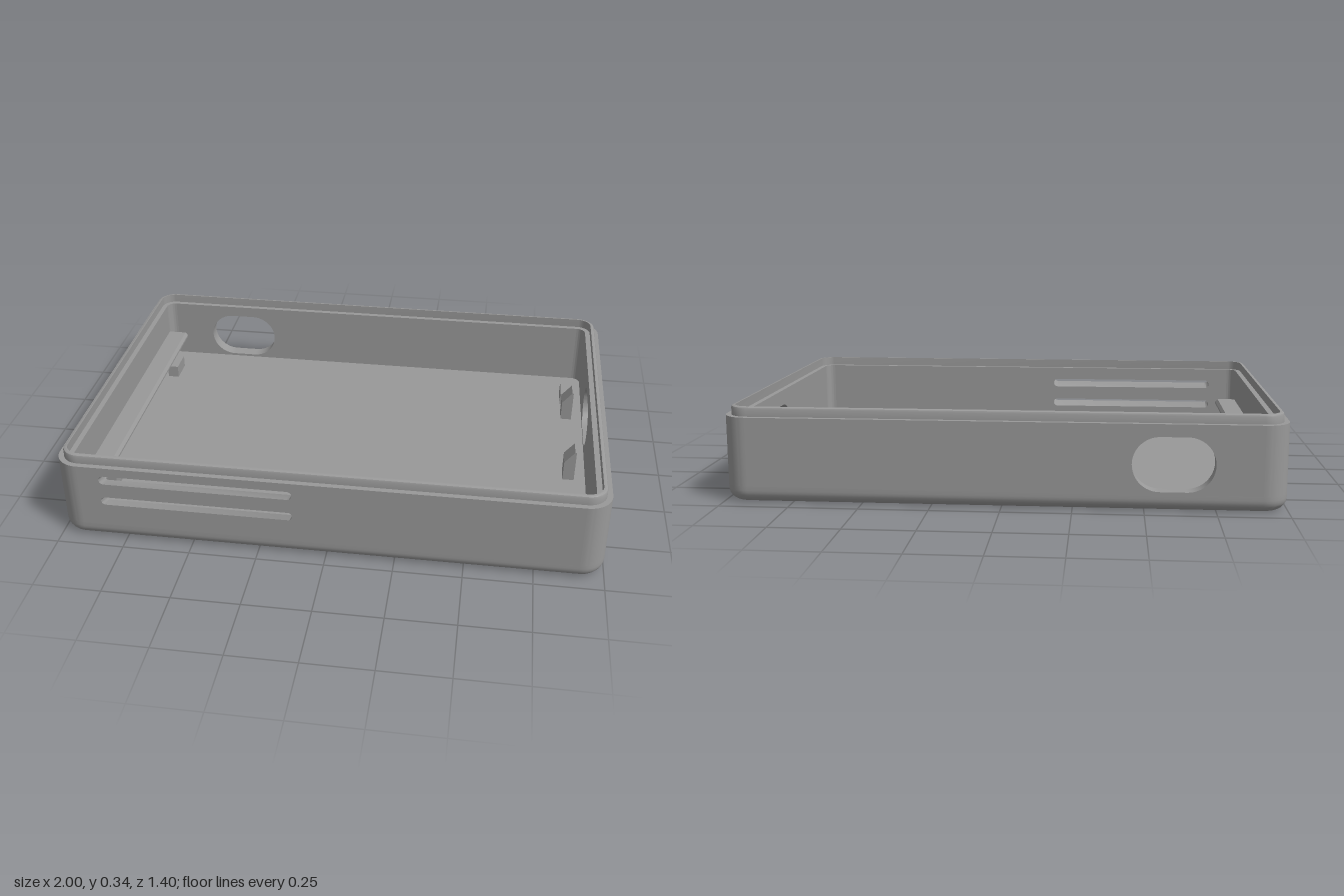
import * as THREE from 'three';
import { mergeVertices, toCreasedNormals } from 'three/addons/utils/BufferGeometryUtils.js';

const HX = 1, HZ = 0.7, R = 0.09;      // outer half sizes and corner radius
const T = 0.055;                       // wall thickness
const FLOOR = 0.06, RIM = 0.31, TOP = 0.345;

// Points of the outline inset by d, as [x, z]
function outline(d, segs = 10) {
  const pts = [];
  const r = R - d;
  [[1, 1], [-1, 1], [-1, -1], [1, -1]].forEach(([sx, sz], q) => {
    for (let i = 0; i <= segs; i++) {
      const a = (q + i / segs) * Math.PI / 2;
      pts.push([sx * (HX - R) + r * Math.cos(a), sz * (HZ - R) + r * Math.sin(a)]);
    }
  });
  return pts;
}

// Sweep an [inset, y] profile around the outline
function sweep(profile) {
  const pos = [], idx = [];
  const n = outline(0).length;
  profile.forEach(([d, y]) => outline(d).forEach(([x, z]) => pos.push(x, y, z)));
  for (let i = 0; i < profile.length - 1; i++) {
    for (let j = 0; j < n; j++) {
      const a = i * n + j, b = i * n + (j + 1) % n;
      idx.push(a, a + n, b, b, a + n, b + n);
    }
  }
  const g = new THREE.BufferGeometry();
  g.setAttribute('position', new THREE.Float32BufferAttribute(pos, 3));
  g.setIndex(idx);
  g.computeVertexNormals();
  return toCreasedNormals(g, 0.6);
}

// Stadium-shaped opening
function slot(x0, x1, y0, y1) {
  const r = (y1 - y0) / 2, cy = (y0 + y1) / 2;
  const p = new THREE.Path();
  p.absarc(x1 - r, cy, r, -Math.PI / 2, Math.PI / 2, false);
  p.absarc(x0 + r, cy, r, Math.PI / 2, Math.PI * 1.5, false);
  p.closePath();
  return p;
}

// Straight wall panel, thickness along z
function panel(half, holes) {
  const s = new THREE.Shape([
    new THREE.Vector2(-half, FLOOR), new THREE.Vector2(half, FLOOR),
    new THREE.Vector2(half, RIM), new THREE.Vector2(-half, RIM)
  ]);
  s.holes.push(...holes);
  return new THREE.ExtrudeGeometry(s, { depth: T, bevelEnabled: false, curveSegments: 16 });
}

function smooth(g) {
  g.deleteAttribute('normal');
  g.deleteAttribute('uv');
  const m = mergeVertices(g);
  m.computeVertexNormals();
  return toCreasedNormals(m, 0.6);
}

function polygon(points) {
  return new THREE.Shape(points.map(([x, y]) => new THREE.Vector2(x, y)));
}

export function createModel() {
  const group = new THREE.Group();
  const grey = new THREE.MeshStandardMaterial({ color: 0x999999 });
  grey.name = 'grey plastic';

  const add = (name, geometry, x = 0, y = 0, z = 0, ry = 0) => {
    const m = new THREE.Mesh(geometry, grey);
    m.name = name;
    m.position.set(x, y, z);
    m.rotation.y = ry;
    group.add(m);
    return m;
  };

  // Rounded lower edge, underside and inner floor
  const fillet = 0.045, edge = [];
  for (let i = 0; i <= 8; i++) {
    const a = i / 8 * Math.PI / 2;
    edge.push([fillet * (1 - Math.sin(a)), fillet * (1 - Math.cos(a))]);
  }
  edge.push([0, FLOOR]);
  add('bottomEdge', sweep(edge));
  const plate = d => new THREE.ShapeGeometry(polygon(outline(d)));
  add('underside', plate(fillet).rotateX(Math.PI / 2));
  add('innerFloor', plate(T / 2).rotateX(-Math.PI / 2), 0, FLOOR, 0);

  // Front wall: two vent slots sloping down towards the inside
  const front = panel(HX - R, [slot(-0.83, -0.12, 0.15, 0.183), slot(-0.83, -0.12, 0.24, 0.275)]);
  const p = front.attributes.position;
  for (let i = 0; i < p.count; i++) {
    const inSlot = p.getY(i) > 0.1 && p.getY(i) < 0.3;
    if (inSlot && p.getZ(i) < T / 2) p.setY(i, p.getY(i) - 0.017);
  }
  add('frontWall', smooth(front), 0, 0, HZ - T);

  // Other walls with cable openings
  add('backWall', smooth(panel(HX - R, [slot(-0.745, -0.455, 0.07, 0.265)])), 0, 0, -HZ);
  add('rightSideWall', smooth(panel(HZ - R, [slot(0.005, 0.295, 0.072, 0.25)])), HX - T, 0, 0, Math.PI / 2);
  add('leftSideWall', panel(HZ - R, []), -HX, 0, 0, Math.PI / 2);

  // Rounded wall corners
  const arc = new THREE.Shape();
  arc.absarc(0, 0, R, 0, Math.PI / 2, false);
  arc.absarc(0, 0, R - T, Math.PI / 2, 0, true);
  arc.closePath();
  const corner = smooth(new THREE.ExtrudeGeometry(arc, {
    depth: RIM - FLOOR, bevelEnabled: false, curveSegments: 10
  }).rotateX(-Math.PI / 2));
  [[1, -1], [-1, -1], [-1, 1], [1, 1]].forEach(([sx, sz], i) =>
    add('wallCorner', corner, sx * (HX - R), FLOOR, sz * (HZ - R), i * Math.PI / 2));

  // Raised locating lip
  add('lip', sweep([
    [0.02, RIM - 0.002], [0.02, TOP - 0.009], [0.0225, TOP - 0.003], [0.028, TOP],
    [0.035, TOP], [0.035, RIM - 0.002]
  ]));

  // Retaining rail along the left inner wall
  const rail = polygon([[-0.95, 0.136], [-0.873, 0.15], [-0.86, 0.158], [-0.86, 0.166], [-0.87, 0.178], [-0.95, 0.178]]);
  add('retainingRail', new THREE.ExtrudeGeometry(rail, { depth: 1.23, bevelEnabled: false }), 0, 0, -0.615);

  // Low board supports at both ends
  const support = new THREE.BoxGeometry(0.046, 0.052, 0.104);
  for (const x of [-0.878, 0.878]) {
    for (const z of [-0.46, 0.418]) add('boardSupport', support, x, FLOOR + 0.025, z);
  }

  // Snap clips with sloped tops
  const clip = polygon([[0.857, FLOOR - 0.005], [0.901, FLOOR - 0.005], [0.901, 0.187], [0.895, 0.187], [0.857, 0.14]]);
  const clipGeometry = new THREE.ExtrudeGeometry(clip, { depth: 0.07, bevelEnabled: false });
  for (const z of [-0.32, 0.135]) add('snapClip', clipGeometry, 0, 0, z - 0.035);

  return group;
}
